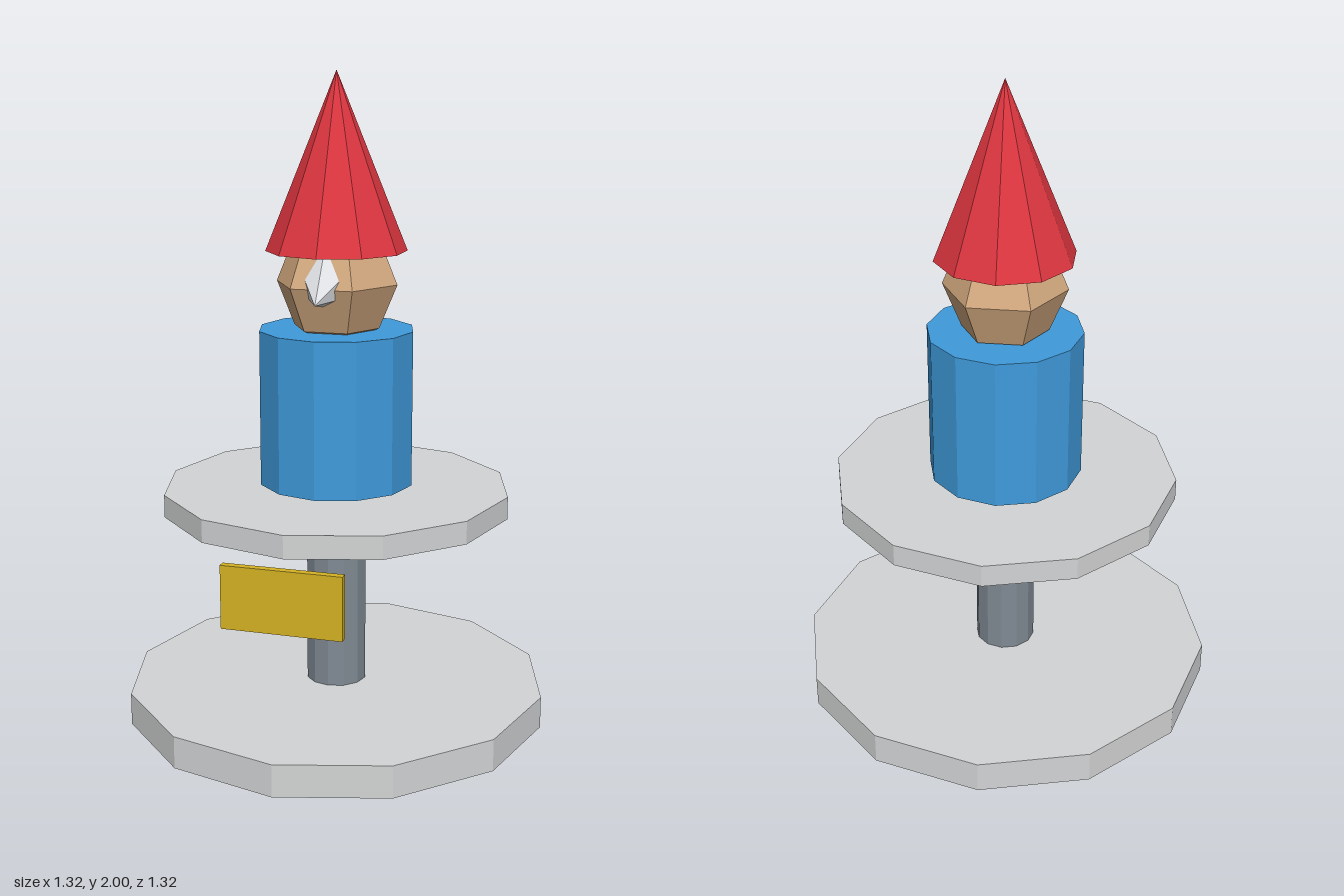
import * as THREE from 'three';

function material(name, color) {
  const m = new THREE.MeshStandardMaterial({ color, flatShading: true });
  m.name = name;
  return m;
}

export function createModel() {
  const group = new THREE.Group();
  group.name = 'gnomeOnStand';

  const stone = material('light grey', 0xd3d4d5);
  const steel = material('steel grey', 0x808a94);
  const blue = material('coat blue', 0x3f9bdc);
  const skin = material('skin tan', 0xd4aa80);
  const red = material('hat red', 0xde3640);
  const white = material('nose white', 0xe4e6ea);
  const gold = material('sign gold', 0xd4b224);

  const add = (name, geometry, mat, x, y, z) => {
    const mesh = new THREE.Mesh(geometry, mat);
    mesh.name = name;
    mesh.position.set(x, y, z);
    group.add(mesh);
    return mesh;
  };

  // Upright twelve-sided drum between two heights
  const drum = (name, radius, y0, y1, mat) =>
    add(name, new THREE.CylinderGeometry(radius, radius, y1 - y0, 12), mat, 0, (y0 + y1) / 2, 0);

  // Stand
  drum('base', 0.66, 0, 0.1, stone);
  drum('post', 0.095, 0.1, 0.67, steel);
  drum('platform', 0.54, 0.667, 0.737, stone);

  // Floating sign plate at the front
  add('sign', new THREE.BoxGeometry(0.36, 0.19, 0.024), gold, 0, 0.545, 0.552);

  // Figure
  drum('body', 0.24, 0.75, 1.23, blue);
  add('head', new THREE.SphereGeometry(0.19, 6, 4), skin, 0, 1.37, 0);
  add('hat', new THREE.ConeGeometry(0.215, 0.533, 10), red, 0, 1.467 + 0.533 / 2, 0);

  // Nose: cone tilted forward and down, its tip placed in front of the face
  const tilt = Math.PI / 2 + 0.4;
  const length = 0.14;
  const nose = add('nose', new THREE.ConeGeometry(0.092, length, 6), white,
    0, 1.333 - Math.cos(tilt) * length / 2, 0.228 - Math.sin(tilt) * length / 2);
  nose.rotation.x = tilt;

  return group;
}
